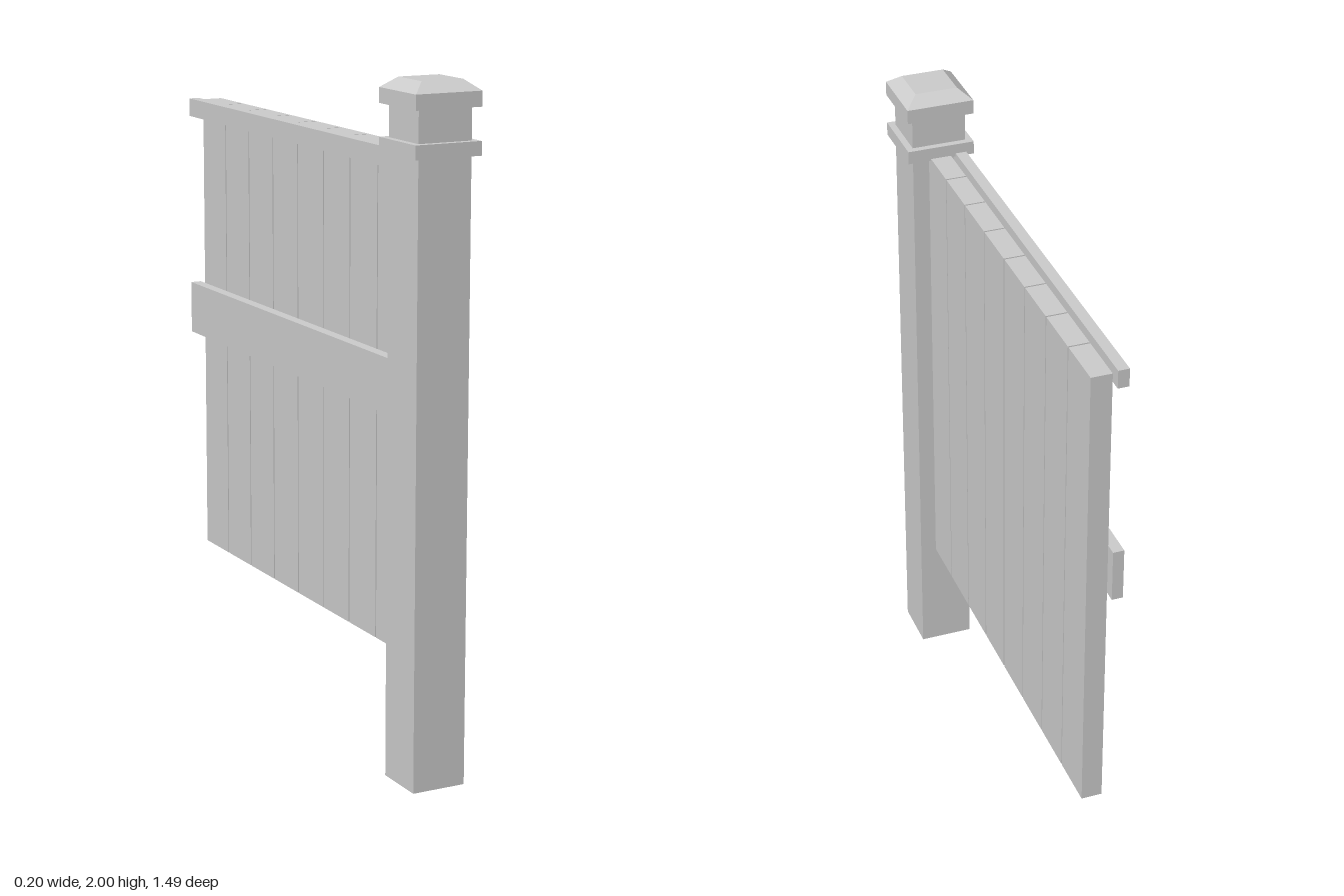
import * as THREE from 'three';

const material = new THREE.MeshStandardMaterial({ color: 0xcccccc, flatShading: true });
const openMaterial = new THREE.MeshStandardMaterial({ color: 0xcccccc, flatShading: true, side: THREE.DoubleSide });

const POST_Z = 0.643;

// Box given by its minimum and maximum corners
function box(name, [x0, y0, z0], [x1, y1, z1]) {
  const mesh = new THREE.Mesh(new THREE.BoxGeometry(x1 - x0, y1 - y0, z1 - z0), material);
  mesh.name = name;
  mesh.position.set((x0 + x1) / 2, (y0 + y1) / 2, (z0 + z1) / 2);
  return mesh;
}

// Square section on the post axis, from half-width a at y0 to half-width b at y1
function square(name, y0, y1, a, b = a, open = false) {
  const geometry = new THREE.CylinderGeometry(b * Math.SQRT2, a * Math.SQRT2, y1 - y0, 4, 1, open);
  geometry.rotateY(Math.PI / 4);
  const mesh = new THREE.Mesh(geometry, open ? openMaterial : material);
  mesh.name = name;
  mesh.position.set(-0.002, (y0 + y1) / 2, POST_Z);
  return mesh;
}

export function createModel() {
  const model = new THREE.Group();
  model.name = 'fencePanel';

  // Hollow post, open at the foot
  model.add(square('post', 0, 1.8, 0.082, 0.082, true));

  // Post cap: collar, neck, upper band and bevelled top
  const cap = new THREE.Group();
  cap.name = 'postCap';
  cap.add(
    square('capCollar', 1.795, 1.835, 0.102),
    square('capNeck', 1.835, 1.927, 0.082),
    square('capBand', 1.927, 1.97, 0.102),
    square('capTop', 1.97, 2, 0.102, 0.064)
  );
  model.add(cap);

  // Vertical planks with narrow gaps
  const planks = new THREE.Group();
  planks.name = 'planks';
  const count = 8, start = -0.745, pitch = 0.1645, gap = 0.005;
  for (let i = 0; i < count; i++) {
    const z = start + i * pitch;
    planks.add(box('plank', [-0.032, 0.36, z], [0.03, 1.8, z + pitch - gap]));
  }
  model.add(planks);

  // Horizontal rails behind the planks
  model.add(
    box('topRail', [-0.08, 1.75, -0.745], [-0.047, 1.805, 0.565]),
    box('middleRail', [-0.08, 1.06, -0.745], [-0.047, 1.22, 0.565])
  );

  return model;
}
